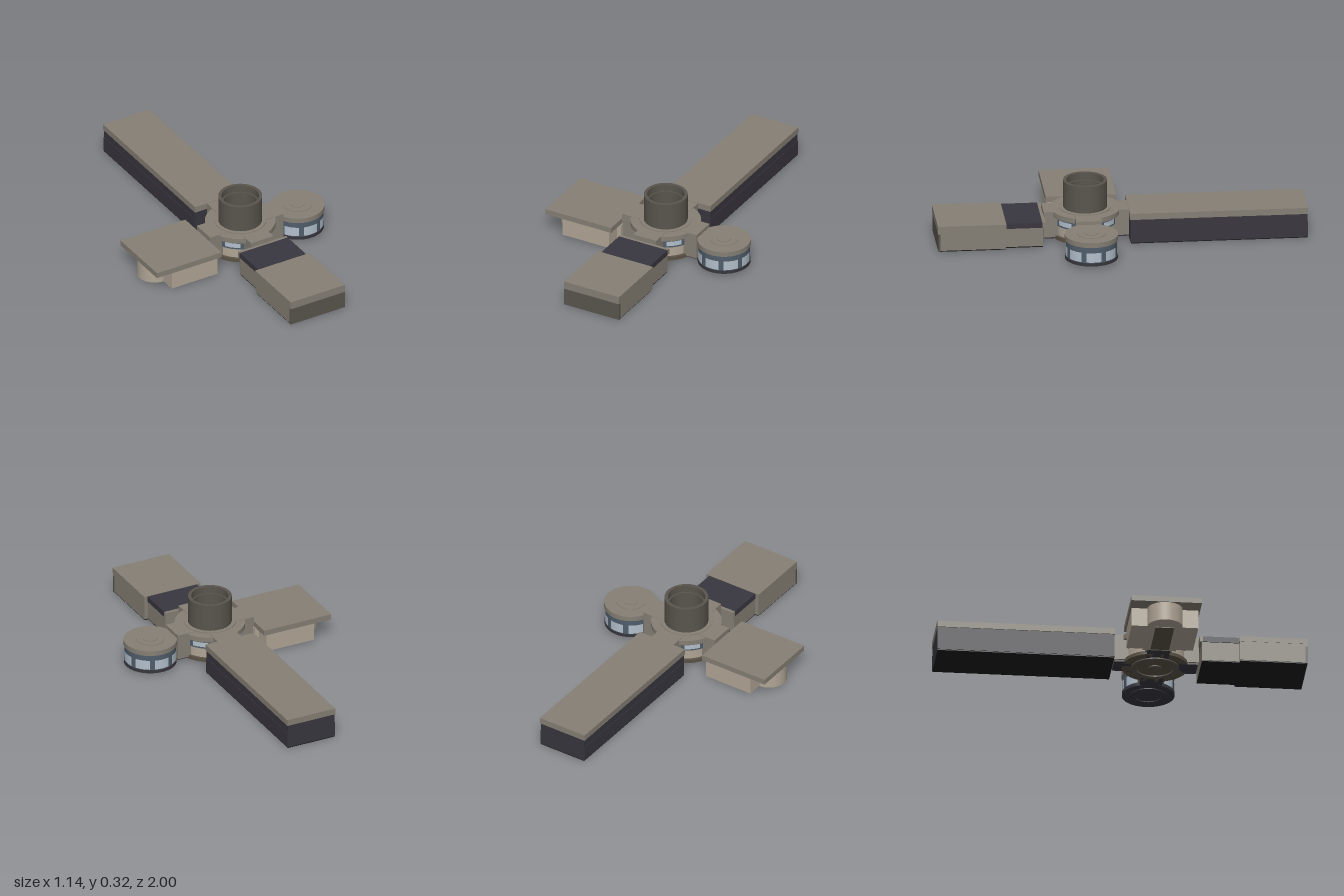
import * as THREE from 'three';

const mat = (name, color, side = THREE.FrontSide) => {
  const m = new THREE.MeshStandardMaterial({ color, side });
  m.name = name;
  return m;
};

export function createModel() {
  const root = new THREE.Group();
  root.name = 'stationModel';
  const stone = mat('warm grey', 0x857f74);
  const beige = mat('beige', 0xb0a595);
  const brown = mat('dark brown grey', 0x59554d, THREE.DoubleSide);
  const charcoal = mat('charcoal', 0x38363e);
  const slate = mat('slate blue', 0x4f5d6a);
  const glass = mat('pale glass', 0xb2bfcc, THREE.DoubleSide);
  const bronze = mat('bronze', 0x5a5245);
  const black = mat('black', 0x1c1b1c);

  const add = (parent, name, geo, m, x = 0, y = 0, z = 0) => {
    const mesh = new THREE.Mesh(geo, m);
    mesh.name = name;
    mesh.position.set(x, y, z);
    parent.add(mesh);
    return mesh;
  };
  // Box given by its limits
  const box = (p, name, m, x0, x1, y0, y1, z0, z1) =>
    add(p, name, new THREE.BoxGeometry(x1 - x0, y1 - y0, z1 - z0), m,
      (x0 + x1) / 2, (y0 + y1) / 2, (z0 + z1) / 2);
  // Upright disc given by radius and heights
  const disc = (p, name, m, r, y0, y1, seg = 48) =>
    add(p, name, new THREE.CylinderGeometry(r, r, y1 - y0, seg), m, 0, (y0 + y1) / 2, 0);
  // Round pipe with a hollow middle
  const pipe = (p, name, m, ri, ro, y0, y1) => {
    const s = new THREE.Shape().absarc(0, 0, ro, 0, Math.PI * 2);
    s.holes.push(new THREE.Path().absarc(0, 0, ri, 0, Math.PI * 2, true));
    const g = new THREE.ExtrudeGeometry(s, { depth: y1 - y0, bevelEnabled: false, curveSegments: 32 });
    g.rotateX(-Math.PI / 2);
    return add(p, name, g, m, 0, y0, 0);
  };
  // Curved panes spaced around a wall
  const panes = (p, name, m, r, y0, y1, count, width, offset = 0) => {
    for (let i = 0; i < count; i++) {
      const a = offset + (i / count) * Math.PI * 2;
      add(p, name, new THREE.CylinderGeometry(r, r, y1 - y0, 6, 1, true, a - width / 2, width),
        m, 0, (y0 + y1) / 2, 0);
    }
  };
  const group = (name, x, z) => {
    const g = new THREE.Group();
    g.name = name;
    g.position.set(x, 0, z);
    root.add(g);
    return g;
  };

  // Central hub
  const hub = group('hub', 0.065, 0.19);
  disc(hub, 'hubBase', bronze, 0.18, 0.015, 0.035);
  pipe(hub, 'hubBaseRing', brown, 0.1, 0.13, 0.008, 0.016);
  disc(hub, 'hubBaseCap', brown, 0.035, 0.008, 0.016, 24);
  disc(hub, 'hubWall', beige, 0.165, 0.035, 0.09);
  disc(hub, 'hubWindowBand', slate, 0.17, 0.09, 0.14);
  panes(hub, 'hubWindow', glass, 0.172, 0.1, 0.127, 4, 0.5, Math.PI / 4);
  disc(hub, 'hubRoof', stone, 0.19, 0.14, 0.168);
  disc(hub, 'hubRoofStep', stone, 0.14, 0.168, 0.173);
  // Four short arms leading to the wings
  for (let i = 0; i < 4; i++) {
    const arm = new THREE.Group();
    arm.name = 'arm';
    arm.rotation.y = (i * Math.PI) / 2;
    hub.add(arm);
    box(arm, 'armBody', stone, -0.07, 0.07, 0.025, 0.17, 0.1, 0.23);
    box(arm, 'armFloor', charcoal, -0.06, 0.06, 0.015, 0.025, 0.1, 0.225);
  }

  // Open tower with a spoked floor inside
  const tower = group('tower', 0.065, 0.19);
  pipe(tower, 'towerWall', brown, 0.1, 0.118, 0.17, 0.325);
  pipe(tower, 'towerLedge', brown, 0.092, 0.102, 0.18, 0.285);
  disc(tower, 'towerFloor', beige, 0.095, 0.174, 0.182);
  disc(tower, 'towerCore', charcoal, 0.024, 0.182, 0.192, 24);
  for (let i = 0; i < 4; i++) {
    const spoke = box(tower, 'towerSpoke', charcoal, -0.094, 0.094, 0.182, 0.189, -0.006, 0.006);
    spoke.rotation.y = ((i + 0.5) * Math.PI) / 4;
  }

  // Long rear wing
  const rear = group('rearWing', 0, 0);
  box(rear, 'rearFloor', black, -0.075, 0.205, 0, 0.006, -0.997, -0.045);
  box(rear, 'rearLowerWall', charcoal, -0.078, 0.208, 0.006, 0.09, -0.999, -0.042);
  box(rear, 'rearUpperWall', charcoal, -0.075, 0.205, 0.09, 0.137, -0.997, -0.042);
  box(rear, 'rearRoof', stone, -0.08, 0.21, 0.137, 0.172, -1, -0.04);

  // Front wing with a dark-roofed neck
  const front = group('frontWing', 0, 0);
  box(front, 'frontFloor', black, -0.1, 0.23, 0, 0.006, 0.635, 0.995);
  box(front, 'frontWalls', stone, -0.103, 0.233, 0.006, 0.115, 0.633, 0.985);
  box(front, 'frontPanel', brown, -0.105, 0.235, 0.002, 0.1, 0.985, 0.998);
  box(front, 'frontRoof', stone, -0.105, 0.235, 0.115, 0.145, 0.63, 1);
  box(front, 'frontRoofLip', stone, -0.104, 0.234, 0.1, 0.115, 0.985, 0.999);
  box(front, 'neckFloor', black, -0.078, 0.208, 0, 0.006, 0.43, 0.635);
  box(front, 'neckWalls', stone, -0.08, 0.21, 0.006, 0.112, 0.43, 0.635);
  box(front, 'neckRoof', charcoal, -0.085, 0.215, 0.112, 0.143, 0.435, 0.63);
  box(front, 'neckEdge', stone, -0.085, 0.215, 0.112, 0.143, 0.417, 0.435);

  // Square side wing with a rounded bay at its outer end
  const side = group('squareWing', 0, 0);
  box(side, 'squareRoof', stone, -0.57, -0.165, 0.112, 0.143, 0, 0.38);
  box(side, 'squareWalls', beige, -0.472, -0.185, 0.008, 0.112, 0.01, 0.37);
  box(side, 'squareDoorway', beige, -0.19, -0.16, 0.012, 0.112, 0.1, 0.28);
  const bay = new THREE.CylinderGeometry(0.095, 0.095, 0.104, 32, 1, false, Math.PI, Math.PI);
  add(side, 'roundBay', bay, beige, -0.472, 0.06, 0.19);
  box(side, 'underStrip', bronze, -0.47, -0.19, 0.003, 0.009, 0.14, 0.24);

  // Round room with a band of windows
  const room = group('roundRoom', 0.425, 0.19);
  disc(room, 'roomBase', charcoal, 0.142, 0.015, 0.032);
  disc(room, 'roomWall', slate, 0.138, 0.032, 0.122);
  panes(room, 'roomWindow', glass, 0.14, 0.036, 0.09, 8, 0.58);
  disc(room, 'roomRoof', stone, 0.144, 0.122, 0.15);
  disc(room, 'roofStep', stone, 0.077, 0.15, 0.153);
  disc(room, 'roofCap', stone, 0.038, 0.153, 0.156, 32);
  pipe(room, 'roomBaseRing', charcoal, 0.07, 0.1, 0.01, 0.016);

  return root;
}
